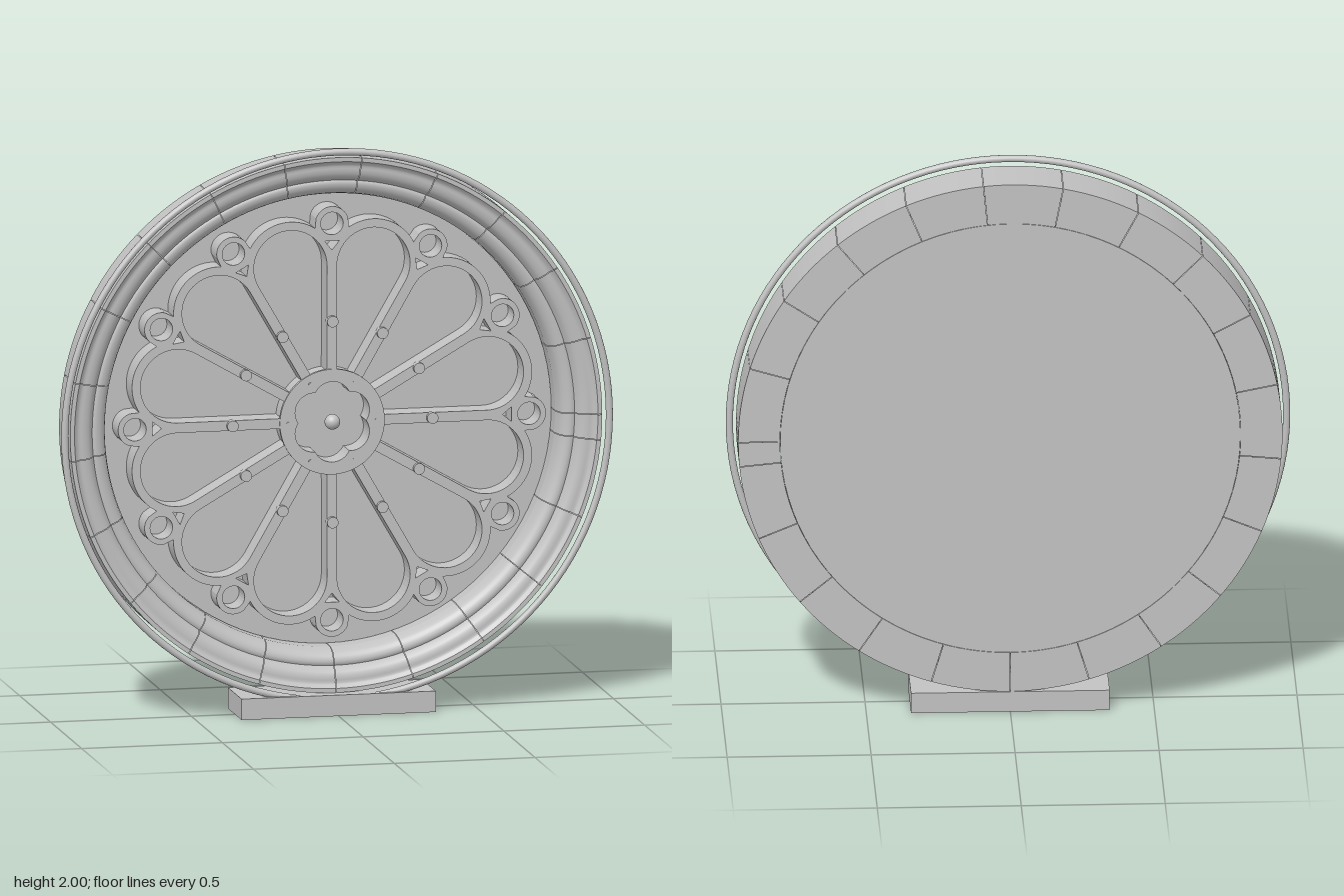
import * as THREE from 'three';

const CY = 1.02;                 // height of the window centre
const STEP = Math.PI / 6;        // twelve petals
const FRONT = 0.0, BACK = -0.1;  // tracery depth
const REAR = -0.112;             // back of the stones and pane

const stone = new THREE.MeshStandardMaterial({ color: 0xc2c2c2, side: THREE.DoubleSide });
stone.name = 'grey stone';

function add(parent, name, geometry, x = 0, y = 0, z = 0) {
  const mesh = new THREE.Mesh(geometry, stone);
  mesh.name = name;
  mesh.position.set(x, y, z);
  parent.add(mesh);
  return mesh;
}

const polar = (r, a) => new THREE.Vector2(r * Math.cos(a), r * Math.sin(a));
// point at distance u along a spoke of angle a, v to its side
const along = (u, v, a) => new THREE.Vector2(
  u * Math.cos(a) - v * Math.sin(a), u * Math.sin(a) + v * Math.cos(a));

function closedLoop(count, radiusAt) {
  return Array.from({ length: count }, (_, i) => {
    const a = i / count * Math.PI * 2;
    return polar(radiusAt(a), a);
  });
}

// far side of a circle of radius r centred at distance c, seen d radians off its axis
function reach(c, r, d) {
  const k = r * r - (c * Math.sin(d)) ** 2;
  return k < 0 ? 0 : c * Math.cos(d) + Math.sqrt(k);
}

// angle from the nearest of n evenly spaced axes
function offAxis(a, n, first = 0) {
  const s = Math.PI * 2 / n;
  return a - first - Math.round((a - first) / s) * s;
}

// Petal opening: sides parallel to the spokes, round head
function petalHole(axis) {
  const c = 0.57, r = 0.13, w = 0.018, inner = 0.18, pts = [];
  const half = STEP / 2 - Math.asin(w / inner);
  for (let i = 0; i <= 6; i++) pts.push(polar(inner, axis + half - i / 6 * half * 2));
  const sweep = Math.PI / 2 + STEP / 2;
  for (let i = 0; i <= 28; i++) {
    const t = -sweep + i / 28 * sweep * 2;
    pts.push(along(c + r * Math.cos(t), r * Math.sin(t), axis));
  }
  return new THREE.Path(pts);
}

function roundHole(u, r, a) {
  return new THREE.Path(Array.from({ length: 24 }, (_, i) => {
    const t = i / 24 * Math.PI * 2;
    return along(u + r * Math.cos(t), r * Math.sin(t), a);
  }));
}

// Soft six-lobed opening of the hub
const hubFoil = () => new THREE.Path(closedLoop(96, a => reach(0.075, 0.067, offAxis(a, 6, STEP))));

function extrude(shape, back, front) {
  const g = new THREE.ExtrudeGeometry(shape, { depth: front - back, bevelEnabled: false, curveSegments: 48 });
  return g.translate(0, 0, back);
}

function buildTracery(window) {
  const tracery = new THREE.Group();
  tracery.name = 'tracery';
  window.add(tracery);

  // Scalloped plate pierced by petals, roundels and small triangles
  const plate = new THREE.Shape(closedLoop(720, a => Math.max(
    reach(0.57, 0.16, offAxis(a, 12, STEP / 2)),
    reach(0.70, 0.06, offAxis(a, 12)))));
  for (let i = 0; i < 12; i++) {
    const a = i * STEP;
    plate.holes.push(petalHole(a + STEP / 2), roundHole(0.70, 0.04, a));
    plate.holes.push(new THREE.Path([
      along(0.606, 0, a), along(0.638, -0.026, a), along(0.638, 0.026, a)]));
  }
  plate.holes.push(hubFoil());
  add(tracery, 'petalTracery', extrude(plate, BACK, FRONT));

  // Hub ring with its lobed opening and centre boss
  const hub = new THREE.Shape().absarc(0, 0, 0.186, 0, Math.PI * 2);
  hub.holes.push(hubFoil());
  add(tracery, 'hubRing', extrude(hub, FRONT - 0.01, FRONT + 0.005));
  add(tracery, 'centreBoss', new THREE.SphereGeometry(0.027, 24, 16), 0, 0, FRONT + 0.005);

  // Flat round studs on the spokes
  const stud = new THREE.CylinderGeometry(0.02, 0.02, 0.03, 16).rotateX(Math.PI / 2);
  for (let i = 0; i < 12; i++) {
    const p = polar(0.355, i * STEP);
    add(tracery, 'spokeStud', stud, p.x, p.y, FRONT);
  }
  // Tiny studs round the hub
  const dot = new THREE.CylinderGeometry(0.006, 0.006, 0.006, 10).rotateX(Math.PI / 2);
  for (let i = 0; i < 6; i++) {
    const p = polar(0.157, i * STEP * 2);
    add(tracery, 'hubStud', dot, p.x, p.y, FRONT + 0.005);
  }
}

function buildStoneRing(window) {
  const ring = new THREE.Group();
  ring.name = 'stoneRing';
  window.add(ring);

  // Closed section as runs of (radius, z); each run is smooth, runs meet in creases
  const line = pts => pts.map(p => new THREE.Vector2(...p));
  const curve = pts => new THREE.SplineCurve(line(pts)).getPoints(10);
  const runs = {
    back: line([[0.80, REAR], [0.945, REAR]]),
    outerWall: line([[0.945, REAR], [0.945, 0.068]]),
    frontLip: line([[0.945, 0.068], [0.93, 0.068]]),
    outerRoll: curve([[0.93, 0.068], [0.915, 0.055], [0.895, 0.054], [0.872, 0.045], [0.857, 0.022]]),
    innerRoll: curve([[0.857, 0.022], [0.845, 0.026], [0.826, 0.02], [0.81, 0.002], [0.80, -0.035]]),
    innerWall: line([[0.80, -0.035], [0.80, REAR]]),
  };
  // Twenty-one equal stones and a narrow closing stone
  const full = THREE.MathUtils.degToRad(16.88), gap = 0.002;
  for (let i = 0; i < 22; i++) {
    const sweep = (i < 21 ? full : Math.PI * 2 - 21 * full) - gap;
    const block = new THREE.Group();
    block.name = i < 21 ? 'ringStone' : 'closingStone';
    for (const [name, pts] of Object.entries(runs)) {
      const g = new THREE.LatheGeometry(pts, i < 21 ? 8 : 3, i * full + Math.PI / 2, sweep);
      add(block, name, g.rotateX(Math.PI / 2));
    }
    ring.add(block);
  }
}

export function createModel() {
  const model = new THREE.Group();
  model.name = 'roseWindow';
  const window = new THREE.Group();
  window.name = 'window';
  window.position.y = CY;
  model.add(window);

  buildStoneRing(window);
  buildTracery(window);

  // Pane closing the back
  const pane = new THREE.CylinderGeometry(0.799, 0.799, 0.02, 96).rotateX(Math.PI / 2);
  add(window, 'pane', pane, 0, 0, REAR + 0.01);
  // Slim hoop standing just clear of the stones
  add(window, 'frontHoop', new THREE.TorusGeometry(0.9675, 0.0125, 12, 128), 0, 0, 0.081);
  // Plinth
  add(model, 'plinth', new THREE.BoxGeometry(0.69, 0.074, 0.22), 0, 0.037, -0.003);
  return model;
}
